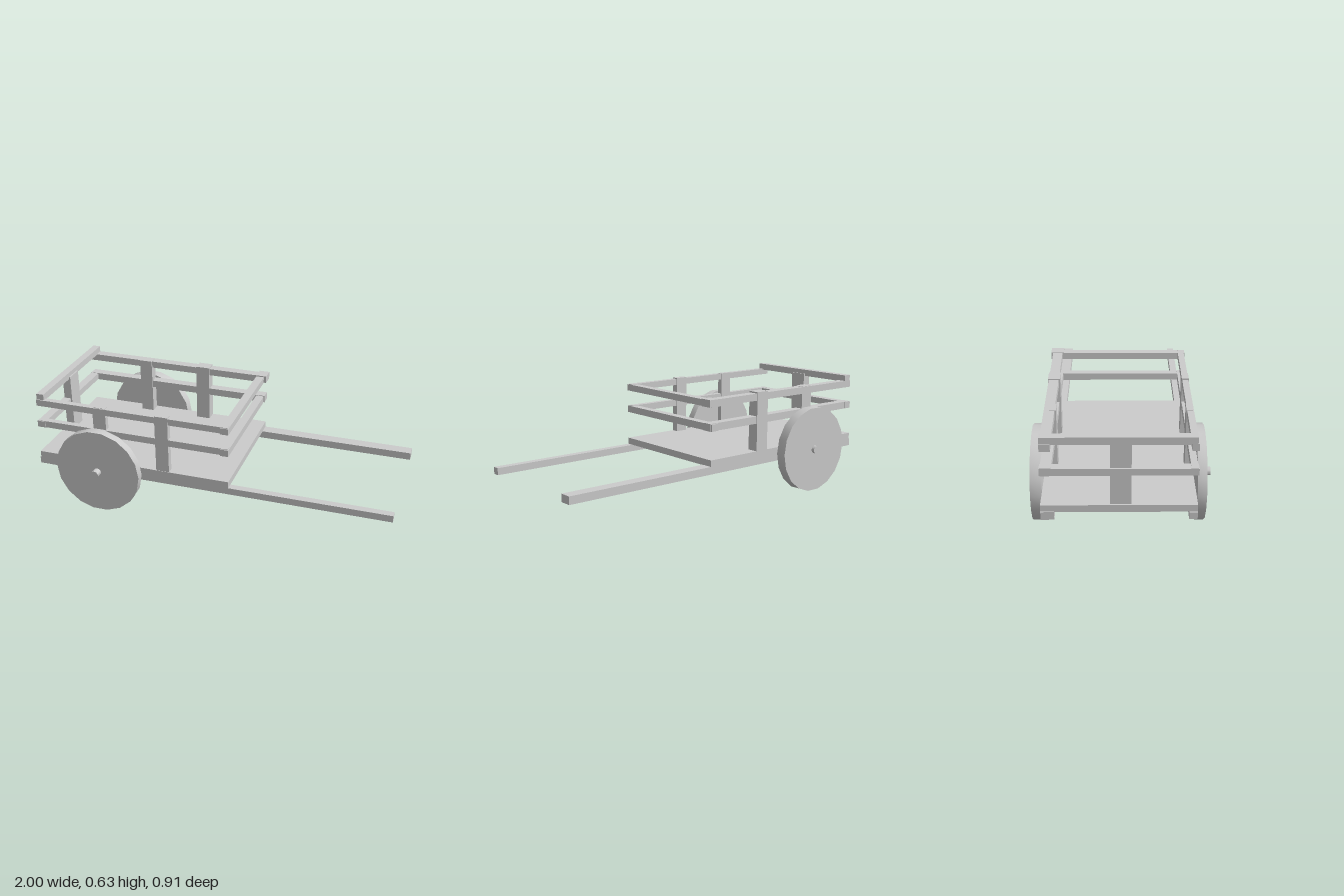
import * as THREE from 'three';
import { toCreasedNormals } from 'three/addons/utils/BufferGeometryUtils.js';

export function createModel() {
  const cart = new THREE.Group();
  cart.name = 'handcart';
  const wood = new THREE.MeshStandardMaterial({ color: 0xcccccc });

  const add = (name, geometry, x, y, z) => {
    const mesh = new THREE.Mesh(geometry, wood);
    mesh.name = name;
    mesh.position.set(x, y, z);
    cart.add(mesh);
    return mesh;
  };
  // Plank given by its extent along each axis
  const plank = (name, [x0, x1], [y0, y1], [z0, z1]) =>
    add(name, new THREE.BoxGeometry(x1 - x0, y1 - y0, z1 - z0),
      (x0 + x1) / 2, (y0 + y1) / 2, (z0 + z1) / 2);
  // Round part lying along z
  const disc = (name, radius, sides, [z0, z1]) => {
    const g = new THREE.CylinderGeometry(radius, radius, z1 - z0, sides);
    g.rotateY(Math.PI / sides).rotateX(Math.PI / 2);
    return add(name, toCreasedNormals(g, 0.6), -0.62, 0.243, (z0 + z1) / 2);
  };

  // Floor and the two long pulling shafts
  plank('floor', [-0.995, 0.12], [0.243, 0.28], [-0.378, 0.362]);
  plank('leftShaft', [-1, 1], [0.205, 0.243], [0.322, 0.362]);
  plank('rightShaft', [-1, 1], [0.203, 0.245], [-0.378, -0.313]);

  // Wheels and axle
  disc('frontWheel', 0.245, 18, [0.372, 0.418]);
  disc('backWheel', 0.245, 18, [-0.438, -0.38]);
  disc('axle', 0.022, 16, [-0.456, 0.456]);

  // Side rails and cross rails at two heights
  for (const [level, y0, y1] of [['lower', 0.438, 0.476], ['upper', 0.566, 0.602]]) {
    plank(level + 'FrontRail', [-0.99, 0.115], [y0, y1], [0.325, 0.358]);
    plank(level + 'BackRail', [-0.99, 0.125], [y0 - 0.003, y1], [-0.374, -0.322]);
    plank(level + 'EndRail', [0.075, 0.12], [y0 - 0.003, y1 - 0.003], [-0.383, 0.363]);
  }
  plank('railEnd', [0.075, 0.134], [0.565, 0.605], [-0.385, -0.315]);
  plank('lowerRearRail', [-0.992, -0.945], [0.438, 0.474], [-0.378, 0.362]);
  plank('topRearBar', [-0.988, -0.945], [0.597, 0.635], [-0.373, 0.352]);

  // Upright posts
  plank('rearPost', [-0.985, -0.937], [0.28, 0.61], [-0.05, 0.05]);
  plank('frontPost', [-0.292, -0.218], [0.28, 0.608], [0.323, 0.36]);
  plank('frontWheelPost', [-0.655, -0.58], [0.28, 0.604], [0.322, 0.352]);
  plank('backPost', [-0.295, -0.215], [0.28, 0.61], [-0.378, -0.314]);
  plank('backWheelPost', [-0.655, -0.58], [0.28, 0.604], [-0.368, -0.314]);

  return cart;
}
